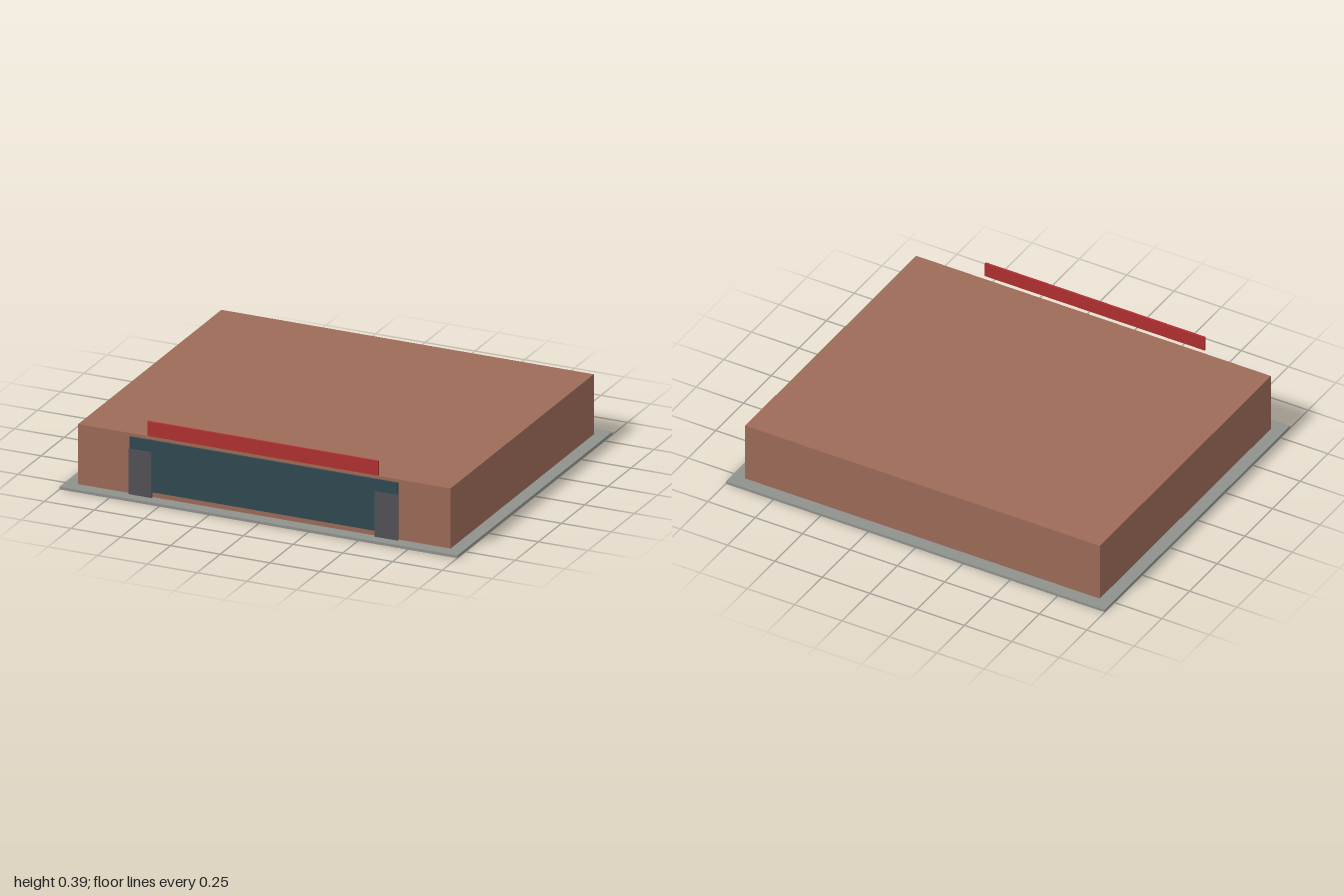
import * as THREE from 'three';

// Box given by its extents on each axis
function block(name, color, [x0, x1], [y0, y1], [z0, z1]) {
  const mesh = new THREE.Mesh(
    new THREE.BoxGeometry(x1 - x0, y1 - y0, z1 - z0),
    new THREE.MeshStandardMaterial({ color })
  );
  mesh.position.set((x0 + x1) / 2, (y0 + y1) / 2, (z0 + z1) / 2);
  mesh.name = name;
  return mesh;
}

export function createModel() {
  const model = new THREE.Group();
  model.name = 'storeBuilding';

  // Ground slab and main brick volume
  model.add(block('pavement', 0x8f918c, [-1, 1], [0, 0.013], [-0.838, 0.838]));
  model.add(block('building', 0x9c6b57, [-0.936, 0.936], [0.013, 0.308], [-0.773, 0.773]));

  // Shop window across the front
  model.add(block('shopWindow', 0x2f4850, [-0.673, 0.673], [0.04, 0.293], [0.773, 0.783]));

  // Mirrored panels at the window's ends
  for (const side of [-1, 1]) {
    const xs = [side * 0.56, side * 0.677].sort((a, b) => a - b);
    const name = side > 0 ? 'leftPanel' : 'rightPanel';
    model.add(block(name, 0x505157, xs, [0.013, 0.235], [0.779, 0.787]));
  }

  // Blank sign board above the roof edge
  model.add(block('signBoard', 0xb03030, [-0.58, 0.58], [0.317, 0.388], [0.782, 0.792]));

  return model;
}
